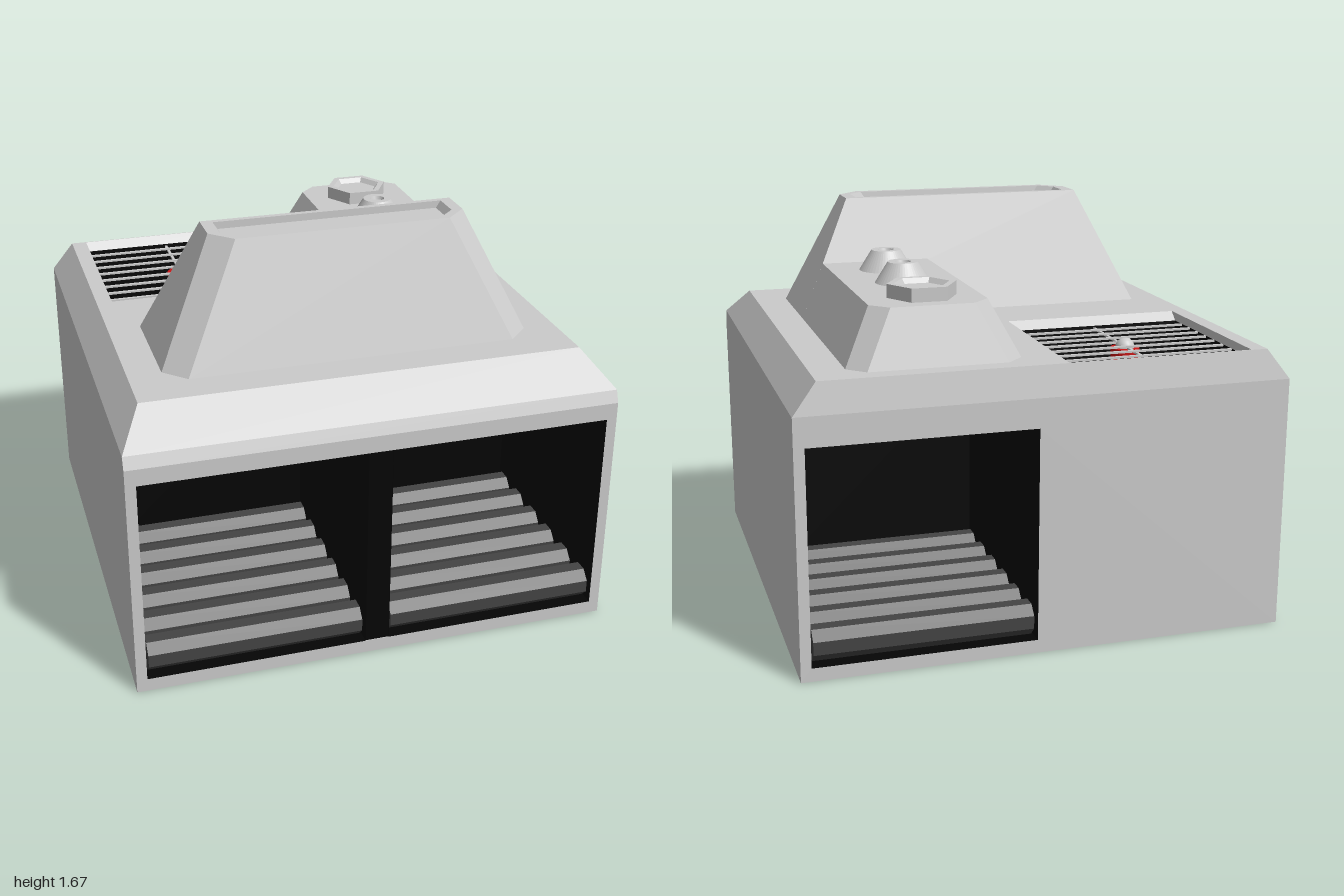
import * as THREE from 'three';

const mat = (color) => new THREE.MeshStandardMaterial({ color, side: THREE.DoubleSide, flatShading: true });
const grey = mat(0xcccccc), black = mat(0x050505), red = mat(0xcc1414);
const rollerGrey = mat(0x444444), bedGrey = mat(0x2c302e);

const named = (geometry, material, name) => {
  const mesh = new THREE.Mesh(geometry, material);
  mesh.name = name;
  return mesh;
};

const box = (x0, x1, y0, y1, z0, z1) =>
  new THREE.BoxGeometry(x1 - x0, y1 - y0, z1 - z0)
    .translate((x0 + x1) / 2, (y0 + y1) / 2, (z0 + z1) / 2);

// Outline helpers: corners run front-left, front-right, back-right, back-left, seen from above
const rect = (x0, x1, z0, z1) => [[x0, z1], [x1, z1], [x1, z0], [x0, z0]];
const cutFront = (x, z0, z1, c) =>
  [[-x, z1 - c], [-x + c, z1], [x - c, z1], [x, z1 - c], [x, z0], [-x, z0]];
const cutBack = (x0, x1, z0, z1, c) =>
  [[x0, z1], [x1, z1], [x1, z0 + c], [x1 - c, z0], [x0 + c, z0], [x0, z0 + c]];
const hex = (cx, cz, r) => Array.from({ length: 6 }, (_, i) =>
  [cx + r * Math.cos(i * Math.PI / 3), cz - r * Math.sin(i * Math.PI / 3)]);

// Joins a stack of [height, outline] rings with flat faces; caps the last ring
function loft(rings, cap = true) {
  const pos = [];
  const pt = (r, i) => {
    const [y, o] = rings[r], [x, z] = o[i % o.length];
    pos.push(x, y, z);
  };
  const n = rings[0][1].length, last = rings.length - 1;
  for (let r = 0; r < last; r++)
    for (let i = 0; i < n; i++) {
      pt(r, i); pt(r, i + 1); pt(r + 1, i + 1);
      pt(r, i); pt(r + 1, i + 1); pt(r + 1, i);
    }
  if (cap) for (let i = 1; i < n - 1; i++) { pt(last, 0); pt(last, i); pt(last, i + 1); }
  const g = new THREE.BufferGeometry();
  g.setAttribute('position', new THREE.Float32BufferAttribute(pos, 3));
  g.computeVertexNormals();
  return g;
}

// Flat panel with optional rectangular holes [x0, x1, y0, y1]
function panel(points, holes = []) {
  const v = (p) => new THREE.Vector2(p[0], p[1]);
  const shape = new THREE.Shape(points.map(v));
  for (const [x0, x1, y0, y1] of holes)
    shape.holes.push(new THREE.Path([[x0, y0], [x0, y1], [x1, y1], [x1, y0]].map(v)));
  return new THREE.ShapeGeometry(shape);
}

function makeBody() {
  const g = new THREE.Group();
  g.name = 'body';
  // Front frame and back wall with their openings
  g.add(named(panel([[-1, 0], [1, 0], [1, 1], [-1, 1]], [[-0.957, 0.957, 0.055, 0.93]])
    .translate(0, 0, 1), grey, 'frontFrame'));
  g.add(named(panel([[-1, 0], [1, 0], [1, 1.05], [-1, 1.05]], [[-0.957, -0.05, 0.055, 0.93]])
    .rotateY(Math.PI).translate(0, 0, -1), grey, 'backWall'));
  // Side walls, mirrored
  for (const s of [-1, 1]) {
    const profile = [[-1, 0], [1, 0], [1, 1], [0.98, 1.05], [-1, 1.05]];
    g.add(named(panel(profile.map(([z, y]) => [-s * z, y]))
      .rotateY(s * Math.PI / 2).translate(s, 0, 0), grey, s > 0 ? 'leftWall' : 'rightWall'));
  }
  g.add(named(new THREE.PlaneGeometry(2, 2).rotateX(Math.PI / 2), grey, 'floor'));
  // Front lip, sloped roof edge and roof with the vent hole
  g.add(named(loft([[1, rect(-1, 1, -1, 1)], [1.05, rect(-1, 1, -1, 0.98)],
    [1.175, rect(-0.905, 0.905, -0.98, 0.81)]], false), grey, 'roofEdge'));
  g.add(named(panel([[-0.905, -0.81], [0.905, -0.81], [0.905, 0.98], [-0.905, 0.98]],
    [[-0.838, -0.073, 0.2, 0.975]]).rotateX(-Math.PI / 2).translate(0, 1.175, 0), grey, 'roof'));
  return g;
}

// One open bay: side 1 opens to the front, side -1 to the back
function makeBay(x0, x1, side) {
  const g = new THREE.Group();
  g.name = side > 0 ? 'frontBay' : 'backBay';
  const outline = side > 0 ? rect(x0, x1, -0.93, -0.055) : rect(x0, x1, 0.055, 0.93);
  g.add(named(loft([[1, outline], [0.02, outline]]).rotateX(side * Math.PI / 2), black, 'bayLining'));
  // Eight-sided rollers over a bed
  const mid = (x0 + x1) / 2, zs = [side * 0.02, side * 0.9].sort((a, b) => a - b);
  g.add(named(box(mid - 0.44, mid + 0.44, 0.056, 0.135, ...zs), bedGrey, 'rollerBed'));
  const roller = new THREE.CylinderGeometry(0.07, 0.07, 0.885, 8)
    .rotateY(Math.PI / 8).rotateZ(Math.PI / 2);
  for (let i = 0; i < 6; i++) {
    const m = named(roller, rollerGrey, 'roller');
    m.position.set(mid, 0.125, side * (0.92 - i * 0.165));
    g.add(m);
  }
  return g;
}

function makeInterior() {
  const g = new THREE.Group();
  g.name = 'interior';
  g.add(makeBay(-0.957, -0.05, 1), makeBay(0.05, 0.957, 1), makeBay(0.05, 0.957, -1));
  g.add(named(box(-0.049, 0.049, 0.056, 0.929, 0, 0.998), black, 'divider'));
  return g;
}

function makeVent() {
  const g = new THREE.Group();
  g.name = 'vent';
  const inner = rect(-0.838, -0.073, -0.94, -0.24);
  g.add(named(loft([[1.175, rect(-0.838, -0.073, -0.975, -0.2)], [1.14, inner]], false), grey, 'ventRim'));
  g.add(named(loft([[1.14, inner], [0.94, inner]]), black, 'ventPit'));
  // Grille bars
  for (let i = 0; i < 8; i++) {
    const z = -0.882 + i * 0.082;
    g.add(named(box(-0.845, -0.067, 1.132, 1.14, z - 0.007, z + 0.007), grey, 'grilleBar'));
  }
  g.add(named(box(-0.461, -0.449, 1.124, 1.132, -0.94, -0.24), grey, 'grilleSpine'));
  // Small red valve with a ball on top
  const valve = new THREE.Group();
  valve.name = 'valve';
  valve.position.set(-0.455, 0, -0.595);
  valve.add(named(new THREE.CylinderGeometry(0.06, 0.06, 0.03, 16).translate(0, 1.11, 0), red, 'valveCollar'));
  for (const s of [-1, 1])
    valve.add(named(box(s * 0.042 - 0.015, s * 0.042 + 0.015, 0.95, 1.1, -0.015, 0.015), red, 'valveLeg'));
  const ballMat = new THREE.MeshStandardMaterial({ color: 0xcccccc });
  valve.add(named(new THREE.SphereGeometry(0.04, 16, 12).translate(0, 1.125, 0), ballMat, 'valveBall'));
  g.add(valve);
  return g;
}

function makeRoofHousing() {
  const g = new THREE.Group();
  g.name = 'roofHousing';
  // Tapered chimney with a shallow recess in its top
  g.add(named(loft([
    [1.175, cutFront(0.768, 0.1, 0.66, 0.09)],
    [1.67, cutFront(0.533, 0.262, 0.5, 0.09)],
    [1.67, cutFront(0.485, 0.287, 0.47, 0.06)],
    [1.64, cutFront(0.465, 0.287, 0.467, 0.06)],
  ]), grey, 'chimney'));
  // Lower ridge running to the back
  g.add(named(loft([
    [1.175, cutBack(0.075, 0.768, -0.905, 0.2, 0.07)],
    [1.4, cutBack(0.19, 0.661, -0.835, 0.2, 0.07)],
  ]), grey, 'ridge'));
  // Two conical nozzles and a hollow hexagonal cap
  const profile = [[0.115, 1.4], [0.062, 1.485], [0.033, 1.485], [0.028, 1.47], [0, 1.47]];
  const nozzle = new THREE.LatheGeometry(profile.map((p) => new THREE.Vector2(...p)), 48);
  for (const z of [-0.03, -0.34]) {
    const m = named(nozzle, grey, 'nozzle');
    m.position.set(0.423, 0, z);
    g.add(m);
  }
  g.add(named(loft([
    [1.4, hex(0.423, -0.65, 0.14)], [1.455, hex(0.423, -0.65, 0.14)],
    [1.455, hex(0.423, -0.65, 0.112)], [1.435, hex(0.423, -0.65, 0.095)],
  ]), grey, 'hexCap'));
  return g;
}

export function createModel() {
  const model = new THREE.Group();
  model.name = 'machine';
  model.add(makeBody(), makeInterior(), makeVent(), makeRoofHousing());
  return model;
}
